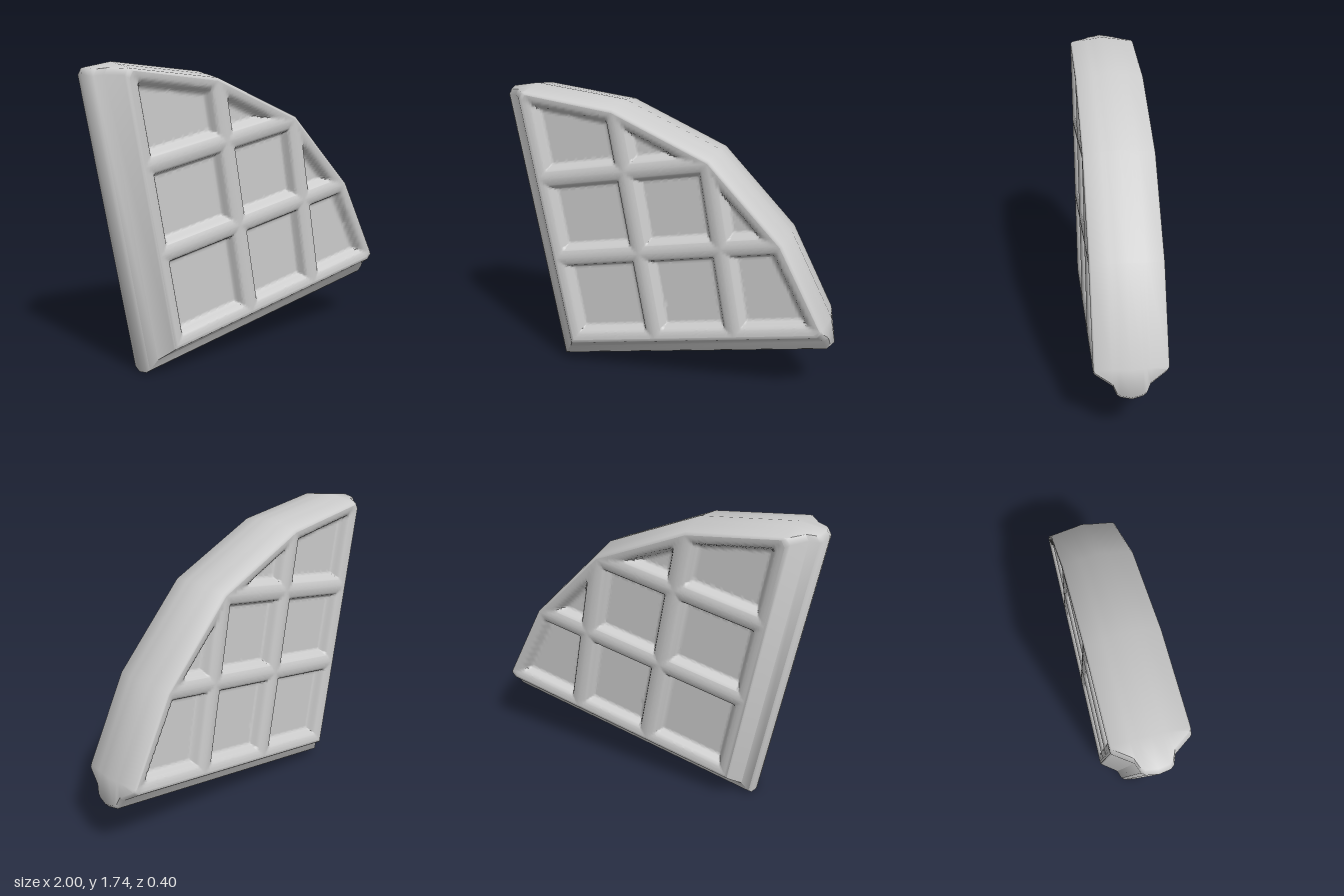
import * as THREE from 'three';
import { toCreasedNormals, mergeVertices } from 'three/addons/utils/BufferGeometryUtils.js';

const TILT = THREE.MathUtils.degToRad(9.9);
const RIBS = [0.7, 1.195];   // rib lines, the same along both straight sides
const TOP = 0.2, FLOOR = 0.135;
const MOUTH = 0.055, FOOT = 0.08;   // pocket wall, measured from the rib crest

// Wedge outline, counter-clockwise: straight sides moved in by d, arc by a
function outline(d, a) {
  const k = 1 - a / 1.74;
  const half = [
    [1.71 - a, d],
    [1.74 - a, d + 0.025],
    [1.738 - a, Math.max(0.18, d + 0.035)],
    [1.577 * k, 0.71 * k],
  ];
  const mirrored = half.map(([u, v]) => [v, u]).reverse();
  return [[d, d], ...half, [1.23 * k, 1.23 * k], ...mirrored];
}

// Wedge coordinates to model space: the wedge is tipped and stands on its corner
function place(u, v, z) {
  const c = Math.cos(TILT), s = Math.sin(TILT);
  return [-0.71 + u * c - v * s, u * s + v * c, z];
}

function makeGeometry(positions, index, crease) {
  const g = new THREE.BufferGeometry();
  g.setAttribute('position', new THREE.Float32BufferAttribute(positions, 3));
  g.setIndex(index);
  return toCreasedNormals(mergeVertices(g, 1e-5), crease);
}

// Outer crust: outlines stacked through the thickness, with a central fin on the cut sides
function crustGeometry() {
  const side = [
    [0, 0, 0], [0.01, 0.01, 0.06], [0.025, 0.012, 0.08],
    [0.075, 0.015, 0.1], [0.138, 0.028, 0.19], [0.146, 0.036, 0.198], [0.16, 0.045, TOP],
  ];
  const back = side.slice(1).reverse().map(([d, a, z]) => [d, a, -z]);
  const rings = [...back, ...side];
  const pos = [], idx = [];
  const n = outline(0, 0).length;
  for (const [d, a, z] of rings) {
    for (const [u, v] of outline(d, a)) pos.push(...place(u, v, z));
  }
  for (let k = 0; k < rings.length - 1; k++) {
    for (let i = 0; i < n; i++) {
      const j = (i + 1) % n;
      const p = k * n + i, q = k * n + j;
      idx.push(p, q, q + n, p, q + n, p + n);
    }
  }
  return makeGeometry(pos, idx, 1);
}

// Pocket depth from the distance to the nearest rib or rim: soft crest, steep wall, flat floor
function height(u, v, poly) {
  let d = Infinity;
  poly.forEach(([u0, v0], i) => {
    const [u1, v1] = poly[(i + 1) % poly.length];
    const du = u1 - u0, dv = v1 - v0;
    d = Math.min(d, (du * (v - v0) - dv * (u - u0)) / Math.hypot(du, dv));
  });
  for (const r of RIBS) d = Math.min(d, Math.abs(u - r), Math.abs(v - r));
  const lip = TOP - 0.015 * Math.min(1, d / MOUTH) ** 2;
  return THREE.MathUtils.lerp(lip, FLOOR, THREE.MathUtils.smoothstep(d, MOUTH - 0.01, FOOT));
}

// Gridded face: lines follow the ribs and are clamped to the rim
function faceGeometry(sign) {
  const poly = outline(0.16, 0.045);
  const vs = poly.map((p) => p[1]);
  const lo = Math.min(...vs), hi = Math.max(...vs);
  const lines = [...vs];
  for (let i = 1; i < 100; i++) lines.push(lo + ((hi - lo) * i) / 100);
  for (const r of [lo, ...RIBS]) {
    for (const o of [0, 0.025, 0.045, 0.055, 0.0625, 0.07, FOOT]) lines.push(r + o, r - o);
  }
  const grid = [...new Set(lines)].filter((t) => t >= lo && t <= hi).sort((p, q) => p - q);
  const N = grid.length, pos = [], idx = [];
  for (const v of grid) {
    let left = Infinity, right = -Infinity;
    poly.forEach(([u0, v0], i) => {
      const [u1, v1] = poly[(i + 1) % poly.length];
      if (v < Math.min(v0, v1) || v > Math.max(v0, v1)) return;
      const ends = v0 === v1 ? [u0, u1] : [u0 + ((u1 - u0) * (v - v0)) / (v1 - v0)];
      left = Math.min(left, ...ends);
      right = Math.max(right, ...ends);
    });
    for (const t of grid) {
      const u = THREE.MathUtils.clamp(t, left, right);
      pos.push(...place(u, v, sign * height(u, v, poly)));
    }
  }
  const same = (p, q) => [0, 1].every((k) => Math.abs(pos[p * 3 + k] - pos[q * 3 + k]) < 1e-5);
  const triangle = (a, b, c) => {
    if (same(a, b) || same(b, c) || same(a, c)) return;
    if (sign > 0) idx.push(a, b, c);
    else idx.push(a, c, b);
  };
  for (let r = 0; r < N - 1; r++) {
    for (let i = 0; i < N - 1; i++) {
      const p = r * N + i, q = p + N;
      triangle(p, p + 1, q + 1);
      triangle(p, q + 1, q);
    }
  }
  return makeGeometry(pos, idx, 1.4);
}

export function createModel() {
  const group = new THREE.Group();
  group.name = 'waffleWedge';
  const material = new THREE.MeshStandardMaterial({ color: 0xcccccc });
  const add = (name, geometry) => {
    const mesh = new THREE.Mesh(geometry, material);
    mesh.name = name;
    group.add(mesh);
  };
  add('crust', crustGeometry());
  add('frontPockets', faceGeometry(1));
  add('backPockets', faceGeometry(-1));
  return group;
}
